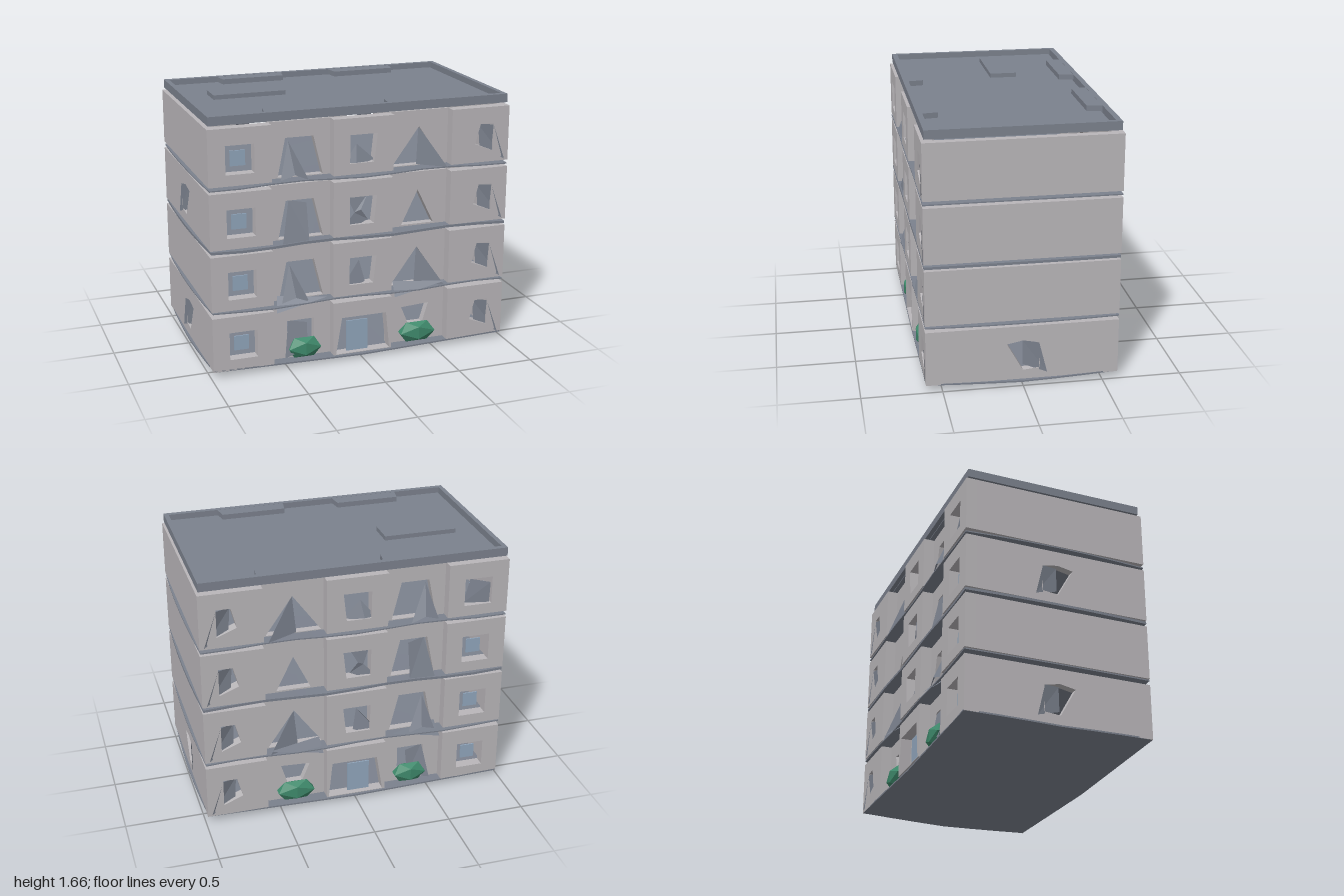
import * as THREE from 'three';

const mat = (name, color, side = THREE.FrontSide) => {
  const m = new THREE.MeshStandardMaterial({ color, side });
  m.name = name;
  return m;
};
const BASE = 0.04, PITCH = 0.397, WALL_H = 0.355;

export function createModel() {
  const wall = mat('wall grey', 0xb9b6b9);
  const slate = mat('slate', 0x7b818d, THREE.DoubleSide);
  const glass = mat('glass blue', 0x91a6bc, THREE.DoubleSide);
  const leaf = mat('leaf green', 0x3f8a6c);

  const model = new THREE.Group();
  model.name = 'apartmentBlock';

  const add = (parent, name, geo, material, x = 0, y = 0, z = 0) => {
    const m = new THREE.Mesh(geo, material);
    m.name = name;
    m.position.set(x, y, z);
    parent.add(m);
    return m;
  };
  const box = (parent, name, material, w, h, d, x, y, z) =>
    add(parent, name, new THREE.BoxGeometry(w, h, d), material, x, y, z);

  // rectangular panel with an optional polygon opening
  const panel = (w, h, depth, hole) => {
    const s = new THREE.Shape([[-w / 2, 0], [w / 2, 0], [w / 2, h], [-w / 2, h]].map(p => new THREE.Vector2(...p)));
    if (hole) s.holes.push(new THREE.Path(hole.map(p => new THREE.Vector2(...p))));
    return new THREE.ExtrudeGeometry(s, { depth, bevelEnabled: false });
  };

  // thin folded plate: a fan of flat triangles
  const plate = (pts) => {
    const v = [];
    for (let i = 1; i < pts.length - 1; i++) v.push(...pts[0], ...pts[i + 1], ...pts[i]);
    const g = new THREE.BufferGeometry();
    g.setAttribute('position', new THREE.Float32BufferAttribute(v, 3));
    g.computeVertexNormals();
    return g;
  };

  // openings, relative to bay centre and storey base
  const square = [[-0.09, 0.07], [0.09, 0.07], [0.09, 0.25], [-0.09, 0.25]];
  const flared = [[-0.14, 0.005], [0.15, 0.005], [0.09, 0.25], [-0.09, 0.25]];
  const gable = [[-0.18, 0.005], [0.17, 0.005], [0, 0.25]];
  const smallGable = [[-0.11, 0.01], [0.11, 0.01], [0, 0.235]];
  const slanted = [[-0.09, 0.07], [0.07, 0.07], [0.09, 0.25], [-0.09, 0.25]];
  const doorway = [[-0.18, 0.004], [0.185, 0.004], [0.16, 0.25], [-0.14, 0.25]];
  const fan = [[-0.05, 0.12], [0.05, 0.12], [0.09, 0.25], [-0.1, 0.24]];
  const corner = [[-0.035, 0.12], [0.09, 0.07], [0.09, 0.25], [0, 0.25]];
  const openings = [
    [square, square, doorway, fan, corner],
    [square, flared, slanted, gable, corner],
    [square, flared, slanted, smallGable, corner],
    [square, flared, slanted, gable, corner],
  ];

  // leaning shutters, relative to bay centre and storey base
  const tri = [[-0.07, 0.23, 0.52], [-0.14, 0.0, 0.59], [-0.05, 0.03, 0.6], [0.04, -0.01, 0.59]];
  const tall = [[-0.07, 0.25, 0.52], [0.04, 0.23, 0.54], [0.04, 0.0, 0.59], [-0.13, -0.01, 0.59]];
  const half = [[0, 0.25, 0.52], [-0.02, 0.01, 0.54], [0.17, -0.01, 0.6]];
  const side = [[0, 0.24, 0.56], [0.09, 0.24, 0.6], [0.17, 0.01, 0.605], [0.01, 0.1, 0.57]];
  const shutters = [
    [null, [[-0.08, 0.25, 0.52], [0.04, 0.23, 0.54], [0.03, 0.06, 0.57], [-0.12, 0.02, 0.58]], null, null, side],
    [null, tri, [[-0.01, 0.215, 0.55], [0.02, 0.08, 0.58], [-0.19, -0.01, 0.6], [-0.11, 0.1, 0.6]], half, side],
    [null, tall, [[-0.05, 0.14, 0.57], [-0.09, 0.24, 0.55], [0.04, 0.25, 0.56], [-0.01, 0.16, 0.58],
      [0.04, 0.09, 0.57], [-0.19, -0.01, 0.6]], null, side],
    [null, tri, [[-0.03, 0.18, 0.55], [0.08, 0.08, 0.57], [-0.05, 0.05, 0.6], [-0.19, -0.01, 0.6]], half, side],
  ];

  // one long facade, reused for front and back
  const makeFacade = (name) => {
    const f = new THREE.Group();
    f.name = name;
    for (let k = 0; k < 4; k++) {
      const y = BASE + PITCH * k;
      for (let b = 0; b < 5; b++) {
        const x = (b - 2) * 0.394, recessed = b % 2 === 1;
        const depth = recessed ? 0.05 : 0.07;
        add(f, 'wallBay', panel(0.394, WALL_H, depth, openings[k][b]), wall, x, y, recessed ? 0.48 : 0.53);
        if (shutters[k][b]) add(f, 'shutter', plate(shutters[k][b]), slate, x, y, 0);
      }
      box(f, 'windowPane', glass, 0.095, 0.095, 0.008, -0.79, y + 0.158, 0.55);
    }
    box(f, 'door', glass, 0.145, 0.23, 0.008, -0.025, 0.135, 0.56);

    // tilted canopies above the ground floor
    add(f, 'canopy', plate([[-0.55, 0.47, 0.53], [-0.57, 0.38, 0.6], [-0.24, 0.45, 0.6]]), slate);
    add(f, 'canopy', plate([[0.23, 0.47, 0.53], [0.22, 0.385, 0.6], [0.57, 0.455, 0.6]]), slate);

    // faceted shrubs
    for (const [x, w] of [[-0.38, 0.125], [0.395, 0.14]]) {
      const g = new THREE.IcosahedronGeometry(1, 0);
      g.scale(w, 0.078, 0.05);
      g.computeVertexNormals();
      add(f, 'shrub', g, leaf, x, 0.11, 0.555);
    }

    // parapet blocks on the roof
    for (const x of [-0.395, 0.395]) {
      const g = new THREE.BoxGeometry(0.45, 0.06, 0.1);
      const p = g.attributes.position;
      for (let i = 0; i < p.count; i++) if (p.getZ(i) < 0) p.setX(i, p.getX(i) * 0.93);
      g.computeVertexNormals();
      add(f, 'parapetBlock', g, slate, x, 1.628, 0.505);
    }
    return f;
  };
  model.add(makeFacade('frontFacade'));
  const back = makeFacade('backFacade');
  back.scale.z = -1;
  add(back, 'looseShutter', plate([[-0.88, 1.43, 0.57], [-0.75, 1.46, 0.55], [-0.7, 1.31, 0.57], [-0.87, 1.3, 0.58]]), slate);
  model.add(back);

  // short side walls with a few windows
  const sideHole = [[-0.1, 0.24], [0, 0.06], [0.1, 0.07], [0.1, 0.24], [0, 0.26]];
  const sideShutter = [[0.96, 0.25, 0], [0.99, 0.24, -0.1], [0.995, 0.04, -0.15], [0.965, 0.09, 0]];
  const makeSide = (name, windows) => {
    const s = new THREE.Group();
    s.name = name;
    for (let k = 0; k < 4; k++) {
      const y = BASE + PITCH * k, open = windows.includes(k);
      const g = panel(1.06, WALL_H, 0.05, open ? sideHole : null);
      g.rotateY(Math.PI / 2);
      add(s, 'sideWall', g, wall, 0.935, y, 0);
      if (open) add(s, 'sideShutter', plate(sideShutter), slate, 0, y, 0);
    }
    return s;
  };
  model.add(makeSide('leftSide', [0]));
  const right = makeSide('rightSide', [0, 2]);
  right.scale.x = -1;
  model.add(right);

  // thin floor plates between storeys, slightly wavy and bowed at the ends
  for (let k = 1; k < 4; k++) {
    const g = new THREE.BoxGeometry(1.96, k === 2 ? 0.016 : 0.008, 1.2, 10, 1, 6);
    const p = g.attributes.position;
    for (let i = 0; i < p.count; i++) {
      const x = p.getX(i), z = p.getZ(i);
      p.setX(i, x * (1 + 0.02 * (1 - (z / 0.6) ** 2)));
      p.setY(i, p.getY(i) + 0.008 * Math.cos(x * 7 + k) * (z / 0.6) ** 2);
    }
    g.computeVertexNormals();
    add(model, 'floorPlate', g, slate, 0, BASE + PITCH * k - 0.016, 0);
  }

  // shallow dished underside
  const base = new THREE.BoxGeometry(1.96, 0.01, 1.2, 8, 1, 6);
  const bp = base.attributes.position;
  for (let i = 0; i < bp.count; i++) {
    const x = bp.getX(i), z = bp.getZ(i);
    const dip = Math.max(0, 1 - Math.abs(x) / 0.98) * 0.6 + 0.4 * (1 - Math.abs(z) / 0.6);
    bp.setX(i, x * (1 + 0.02 * (1 - (z / 0.6) ** 2)));
    bp.setY(i, bp.getY(i) - 0.04 * dip);
  }
  base.computeVertexNormals();
  add(model, 'basePlate', base, slate, 0, 0.045, 0);

  // roof slab, rim and vent
  box(model, 'roofSlab', slate, 1.87, 0.015, 1.08, 0, 1.617, 0);
  const rect = (a, b) => [[-a, -b], [a, -b], [a, b], [-a, b]].map(p => new THREE.Vector2(...p));
  const rimShape = new THREE.Shape(rect(0.975, 0.585));
  rimShape.holes.push(new THREE.Path(rect(0.945, 0.55)));
  const rim = new THREE.ExtrudeGeometry(rimShape, { depth: 0.055, bevelEnabled: false });
  rim.rotateX(-Math.PI / 2);
  add(model, 'roofRim', rim, slate, 0, 1.604, 0);
  box(model, 'roofVent', slate, 0.475, 0.065, 0.175, -0.545, 1.62, -0.1);

  return model;
}
